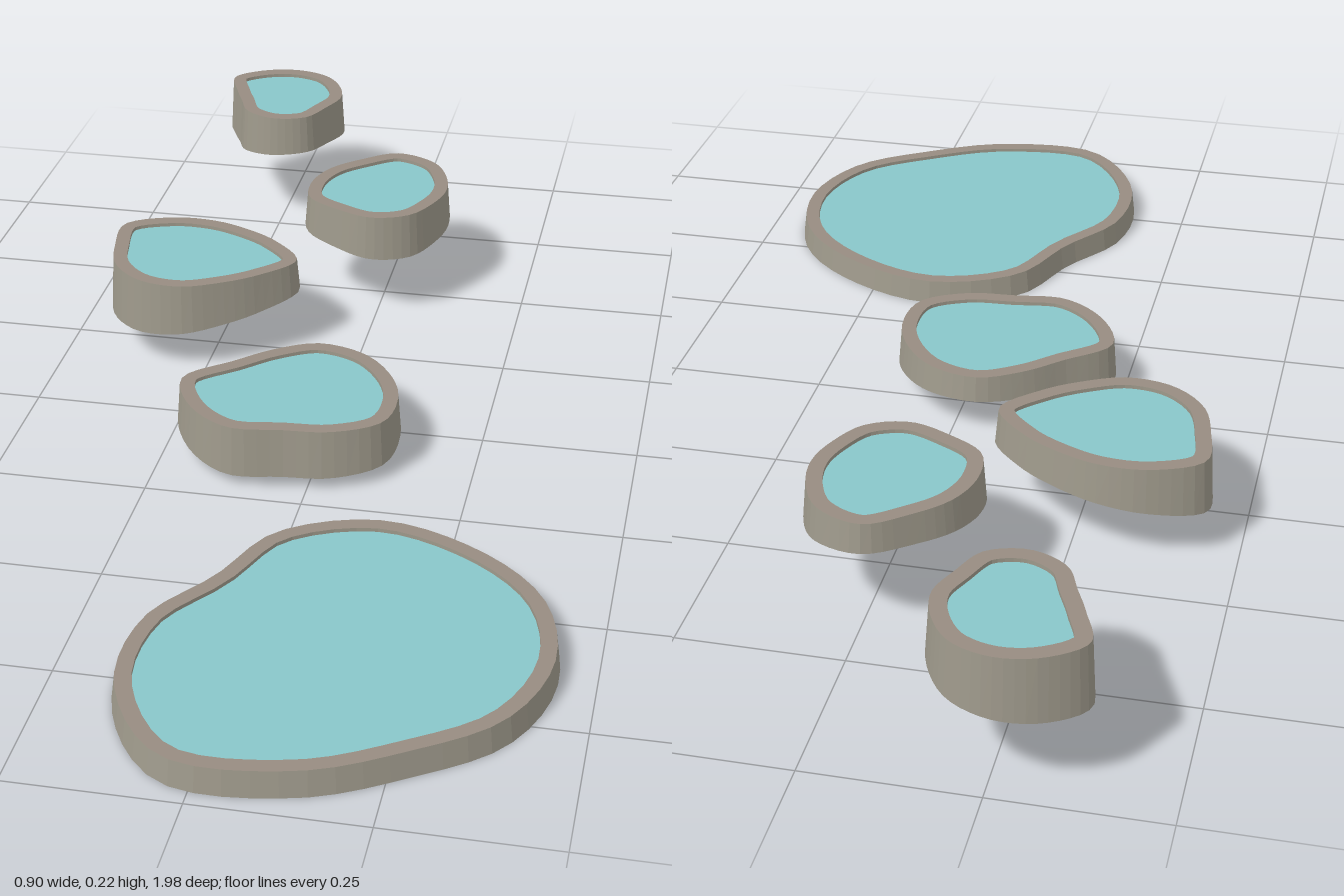
import * as THREE from 'three';

const SEGMENTS = 52;
const RIM_WIDTH = 0.024;
const FLARE = 0.005;

const stone = new THREE.MeshStandardMaterial({ color: 0x9e998b, side: THREE.DoubleSide });
stone.name = 'warm grey stone';
const rimStone = new THREE.MeshStandardMaterial({ color: 0x978c81, side: THREE.DoubleSide });
rimStone.name = 'brownish rim stone';
const water = new THREE.MeshStandardMaterial({ color: 0x88c6c9, side: THREE.DoubleSide });
water.name = 'turquoise water';

// Pools from front to back. Radii are evenly spaced in angle, from the back edge through the +x side.
// base: wall foot height as a + b * x + c * z, following the slope. The second pool has no floor.
const pools = [
  { x: 0.14, z: 0.65, top: 0.04, base: [0, 0, 0], floor: 0.008,
    radii: [0.32, 0.31, 0.312, 0.306, 0.295, 0.278, 0.311, 0.362, 0.331, 0.287, 0.246, 0.297] },
  { x: -0.04, z: 0.06, top: 0.10, base: [0.045, 0, -0.13],
    radii: [0.16, 0.16, 0.157, 0.165, 0.177, 0.157, 0.145, 0.175, 0.189, 0.198, 0.146, 0.143] },
  { x: -0.29, z: -0.28, top: 0.157, base: [0.089, 0.11, -0.087], floor: 0.127,
    radii: [0.135, 0.129, 0.145, 0.179, 0.144, 0.132, 0.142, 0.15, 0.152, 0.154, 0.182, 0.155] },
  { x: -0.01, z: -0.54, top: 0.19, base: [0.067, -0.05, -0.11], floor: 0.16,
    radii: [0.158, 0.148, 0.126, 0.117, 0.117, 0.133, 0.139, 0.133, 0.145, 0.136, 0.131, 0.133] },
  { x: -0.26, z: -0.87, top: 0.218, base: [0.223, 0.08, 0.077], floor: 0.19,
    radii: [0.13, 0.125, 0.115, 0.112, 0.108, 0.128, 0.129, 0.115, 0.094, 0.101, 0.138, 0.134] },
];

// Smooth closed outline with inward directions
function sampleOutline(x, z, radii) {
  const points = radii.map((r, i) => {
    const angle = (i / radii.length) * Math.PI * 2;
    return new THREE.Vector3(x + r * Math.sin(angle), 0, z - r * Math.cos(angle));
  });
  const curve = new THREE.CatmullRomCurve3(points, true);
  const samples = [];
  for (let i = 0; i < SEGMENTS; i++) {
    const t = curve.getTangentAt(i / SEGMENTS);
    samples.push({ p: curve.getPointAt(i / SEGMENTS), inward: new THREE.Vector3(-t.z, 0, t.x) });
  }
  return samples;
}

// Ring moved inward, at a height given by a function of x and z
function ring(samples, inset, height) {
  return samples.map(({ p, inward }) => {
    const q = p.clone().addScaledVector(inward, inset);
    q.y = height(q.x, q.z);
    return q;
  });
}

// Faceted band between two rings
function band(lower, upper) {
  const vertices = [];
  for (let i = 0; i < lower.length; i++) {
    const j = (i + 1) % lower.length;
    vertices.push(lower[j], lower[i], upper[i], lower[j], upper[i], upper[j]);
  }
  const geometry = new THREE.BufferGeometry().setFromPoints(vertices);
  geometry.computeVertexNormals();
  return geometry;
}

// Flat upward-facing sheet filling a ring
function sheet(points) {
  const geometry = new THREE.ShapeGeometry(new THREE.Shape(points.map((p) => new THREE.Vector2(p.x, -p.z))));
  geometry.rotateX(-Math.PI / 2);
  geometry.translate(0, points[0].y, 0);
  return geometry;
}

function createPool({ x, z, top, base, floor, radii }) {
  const pool = new THREE.Group();
  const add = (name, geometry, material) => {
    const mesh = new THREE.Mesh(geometry, material);
    mesh.name = name;
    pool.add(mesh);
  };
  const samples = sampleOutline(x, z, radii);
  const foot = ring(samples, 0, (px, pz) => base[0] + base[1] * px + base[2] * pz);
  const outerTop = ring(samples, FLARE, () => top);
  const innerTop = ring(samples, FLARE + RIM_WIDTH, () => top);
  const waterEdge = ring(samples, FLARE + RIM_WIDTH, () => top - 0.006);

  add('outerWall', band(foot, outerTop), stone);
  add('rim', band(outerTop, innerTop), rimStone);
  add('innerWall', band(innerTop, waterEdge), stone);
  add('waterSurface', sheet(waterEdge), water);
  if (floor !== undefined) add('basinFloor', sheet(ring(samples, FLARE, () => floor)), stone);
  return pool;
}

export function createModel() {
  const model = new THREE.Group();
  model.name = 'terracedPools';
  pools.forEach((spec, i) => {
    const pool = createPool(spec);
    pool.name = i === 0 ? 'largeLowerPool' : `terracePool${i}`;
    model.add(pool);
  });
  return model;
}
